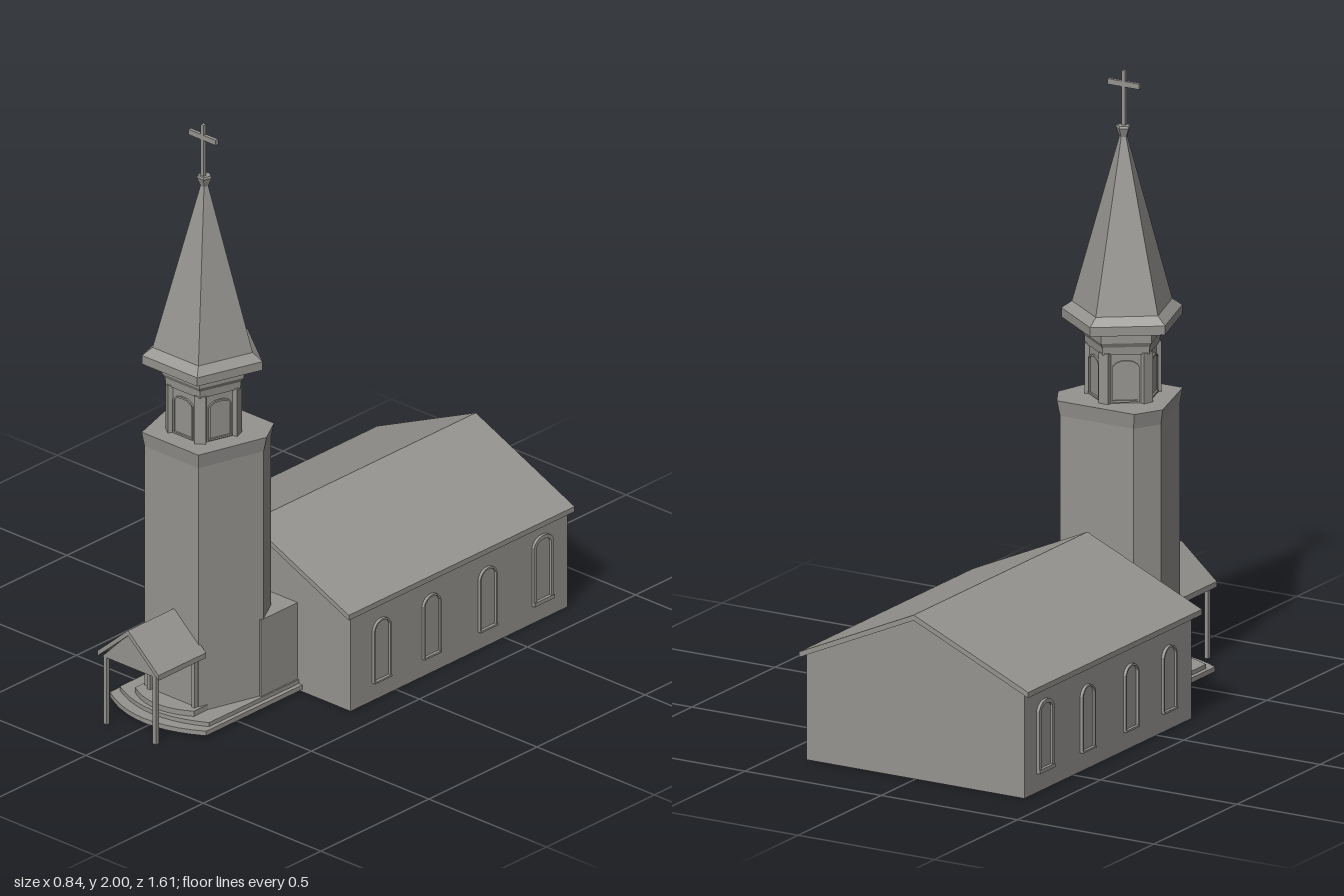
import * as THREE from 'three';

const stone = new THREE.MeshStandardMaterial({ color: 0x969490 });
stone.name = 'stone grey';

const TX = -0.01, TZ = 0.44; // tower axis

function add(parent, name, geo, x = 0, y = 0, z = 0) {
  const mesh = new THREE.Mesh(geo, stone);
  mesh.name = name;
  mesh.position.set(x, y, z);
  parent.add(mesh);
  return mesh;
}

const box = (w, h, d) => new THREE.BoxGeometry(w, h, d);

// Faceted solid through stacked convex outlines: layers of { y, pts: [[x, z], ...] }
function loft(layers) {
  const pos = [];
  const n = layers[0].pts.length;
  const put = (l, i) => pos.push(l.pts[i % n][0], l.y, l.pts[i % n][1]);
  for (let k = 0; k < layers.length - 1; k++) {
    const a = layers[k], b = layers[k + 1];
    for (let i = 0; i < n; i++) {
      put(a, i); put(a, i + 1); put(b, i + 1);
      put(a, i); put(b, i + 1); put(b, i);
    }
  }
  const low = layers[0], top = layers[layers.length - 1];
  for (let i = 1; i < n - 1; i++) {
    put(top, 0); put(top, i); put(top, i + 1);
    put(low, 0); put(low, i + 1); put(low, i);
  }
  const geo = new THREE.BufferGeometry();
  geo.setAttribute('position', new THREE.Float32BufferAttribute(pos, 3));
  geo.computeVertexNormals();
  return geo;
}

// Regular pentagon with a corner at the back and a flat side at the front
function pentagon(r) {
  return Array.from({ length: 5 }, (_, i) => {
    const a = Math.PI + (i * Math.PI * 2) / 5;
    return [Math.sin(a) * r, Math.cos(a) * r];
  });
}
const pentaLoft = (profile) => loft(profile.map(([y, r]) => ({ y, pts: pentagon(r) })));

// Outline in x, y extruded from z0 to z1
function prism(points, z0, z1) {
  const shape = new THREE.Shape(points.map(([x, y]) => new THREE.Vector2(x, y)));
  const geo = new THREE.ExtrudeGeometry(shape, { depth: z1 - z0, bevelEnabled: false });
  return geo.translate(0, 0, z0);
}

// Bent roof slab
const gableRoof = (w, eave, ridge, t, z0, z1) =>
  prism([[-w, eave], [0, ridge - t], [w, eave], [w, eave + t], [0, ridge], [-w, eave + t]], z0, z1);

// Segmental arch outline standing on y = 0
function arch(path, w, h, rise, inset = 0) {
  const x = w / 2 - inset;
  path.moveTo(-x, inset);
  path.lineTo(x, inset);
  path.lineTo(x, h - rise);
  path.quadraticCurveTo(x * 0.75, h - inset, 0, h - inset);
  path.quadraticCurveTo(-x * 0.75, h - inset, -x, h - rise);
  path.closePath();
  return path;
}

// Arched window: frame, pane and sill, facing +z
function archedWindow(w, h, rise, border, depth) {
  const group = new THREE.Group();
  group.name = 'archedWindow';
  const frame = arch(new THREE.Shape(), w, h, rise);
  frame.holes.push(arch(new THREE.Path(), w, h, rise, border));
  const options = { depth, bevelEnabled: false, curveSegments: 6 };
  add(group, 'windowFrame', new THREE.ExtrudeGeometry(frame, options));
  const pane = arch(new THREE.Shape(), w, h, rise, border);
  add(group, 'windowPane', new THREE.ShapeGeometry(pane, 6), 0, 0, 0.002);
  add(group, 'windowSill', box(w, border, depth * 1.3), 0, border / 2, depth * 0.65);
  return group;
}

function makeNave() {
  const nave = new THREE.Group();
  nave.name = 'nave';
  add(nave, 'naveWalls', prism([[-0.4, 0], [0.4, 0], [0.4, 0.344], [0, 0.522], [-0.4, 0.344]], -0.795, 0.21));
  add(nave, 'naveRoof', gableRoof(0.42, 0.335, 0.54, 0.018, -0.805, 0.24));
  add(nave, 'linkBlock', box(0.37, 0.305, 0.2), TX, 0.1525, 0.28);
  // side windows, the rear one a little larger
  for (const side of [-1, 1]) {
    [0.07, -0.16, -0.42, -0.675].forEach((z, i) => {
      const rear = i === 3;
      const win = archedWindow(rear ? 0.092 : 0.08, rear ? 0.235 : 0.215, 0.03, rear ? 0.013 : 0.006, 0.01);
      win.position.set(side * 0.4, 0.062, z);
      win.rotation.y = (side * Math.PI) / 2;
      nave.add(win);
    });
  }
  return nave;
}

function makeTower() {
  const tower = new THREE.Group();
  tower.name = 'tower';
  tower.position.set(TX, 0, TZ);

  // six-sided shaft with a flared head
  const plan = [[-0.115, 0.152], [0.115, 0.152], [0.183, -0.075], [0.135, -0.16], [-0.135, -0.16], [-0.183, -0.075]];
  const ring = (y, s) => ({ y, pts: plan.map(([x, z]) => [x * s, z * s]) });
  add(tower, 'towerShaft', loft([ring(0, 1), ring(0.89, 1), ring(0.94, 1.05)]));

  // belfry with an arched opening on each side and corner piers
  add(tower, 'belfry', pentaLoft([[0.94, 0.118], [1.12, 0.118]]));
  for (let i = 0; i < 5; i++) {
    const a = (i * Math.PI * 2) / 5;
    const win = archedWindow(0.084, 0.135, 0.02, 0.006, 0.006);
    win.position.set(Math.sin(a) * 0.0955, 0.945, Math.cos(a) * 0.0955);
    win.rotation.y = a;
    tower.add(win);
    const c = a + Math.PI;
    const pier = add(tower, 'cornerPier', box(0.036, 0.165, 0.02), Math.sin(c) * 0.111, 1.0225, Math.cos(c) * 0.111);
    pier.rotation.y = c;
  }
  add(tower, 'belfryCornice', pentaLoft([[1.1, 0.124], [1.125, 0.126], [1.14, 0.136], [1.19, 0.136]]));

  // spire, finial and cross
  add(tower, 'spire', pentaLoft([[1.18, 0.2], [1.21, 0.2], [1.235, 0.166], [1.8, 0.009]]));
  add(tower, 'finial', pentaLoft([[1.78, 0.011], [1.815, 0.025], [1.822, 0.022]]));
  add(tower, 'crossUpright', box(0.012, 0.19, 0.012), 0, 1.905, 0.005);
  add(tower, 'crossArm', box(0.116, 0.018, 0.012), 0, 1.956, 0.005);
  return tower;
}

function makeEntrance() {
  const entrance = new THREE.Group();
  entrance.name = 'entrance';

  // bowed steps: half width, corner z, bow, bottom, height
  for (const [w, z, bow, y, h] of [
    [0.205, 0.655, 0.065, 0.008, 0.016],
    [0.19, 0.625, 0.055, 0.024, 0.014],
    [0.125, 0.625, 0.04, 0.038, 0.018],
  ]) {
    const shape = new THREE.Shape();
    shape.moveTo(-w, -0.21);
    shape.lineTo(-w, -z);
    shape.quadraticCurveTo(0, -z - bow * 2, w, -z);
    shape.lineTo(w, -0.21);
    shape.closePath();
    const geo = new THREE.ExtrudeGeometry(shape, { depth: h, bevelEnabled: false, curveSegments: 10 });
    add(entrance, 'step', geo.rotateX(-Math.PI / 2), TX, y, 0);
  }

  // door and its frame
  add(entrance, 'door', box(0.17, 0.16, 0.008), 0, 0.135, 0.594);
  add(entrance, 'doorLintel', box(0.21, 0.012, 0.02), 0, 0.221, 0.597);
  // porch roof on two posts
  add(entrance, 'porchRoof', gableRoof(0.13, 0.233, 0.365, 0.018, 0.585, 0.805));
  add(entrance, 'porchGable', prism([[-0.115, 0.235], [0.115, 0.235], [0, 0.352]], 0.59, 0.798));
  for (const side of [-1, 1]) {
    add(entrance, 'doorJamb', box(0.014, 0.165, 0.02), side * 0.095, 0.1325, 0.597);
    add(entrance, 'porchPost', box(0.014, 0.238, 0.014), side * 0.105, 0.119, 0.79);
  }
  return entrance;
}

export function createModel() {
  const model = new THREE.Group();
  model.name = 'church';
  model.add(makeNave(), makeTower(), makeEntrance());
  return model;
}
